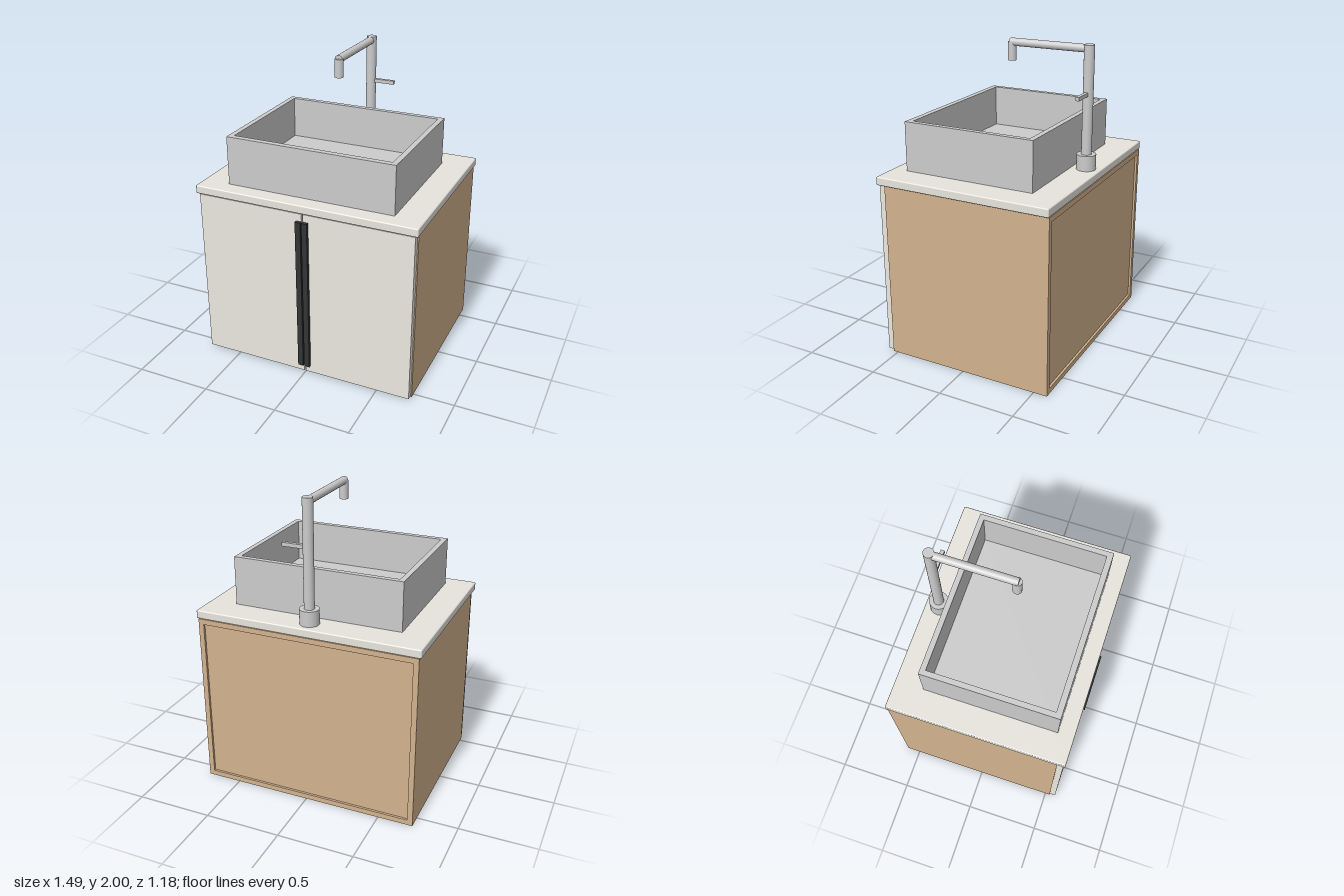
import * as THREE from 'three';
import { RoundedBoxGeometry } from 'three/addons/geometries/RoundedBoxGeometry.js';

const mat = (color) => new THREE.MeshStandardMaterial({ color });
const wood = mat(0xd2b28e), doorPaint = mat(0xece8e1), stone = mat(0xe6e4dc);
const black = mat(0x323434), grey = mat(0xcccccc);

function add(parent, name, geometry, material, x = 0, y = 0, z = 0) {
  const mesh = new THREE.Mesh(geometry, material);
  mesh.name = name;
  mesh.position.set(x, y, z);
  parent.add(mesh);
  return mesh;
}

// Box given by its minimum and maximum corners
function box(parent, name, material, [x0, y0, z0], [x1, y1, z1]) {
  return add(parent, name, new THREE.BoxGeometry(x1 - x0, y1 - y0, z1 - z0), material,
    (x0 + x1) / 2, (y0 + y1) / 2, (z0 + z1) / 2);
}

// Upright cylinder between two heights
function post(parent, name, r, y0, y1, z) {
  return add(parent, name, new THREE.CylinderGeometry(r, r, y1 - y0, 32), grey, 0, (y0 + y1) / 2, z);
}

// Rectangle outline in the XY plane
function rect(path, x0, y0, x1, y1) {
  path.moveTo(x0, y0);
  path.lineTo(x1, y0);
  path.lineTo(x1, y1);
  path.lineTo(x0, y1);
  path.closePath();
  return path;
}

// Extruded rectangular frame
function frame(outer, inner, depth) {
  const shape = rect(new THREE.Shape(), ...outer);
  shape.holes.push(rect(new THREE.Path(), ...inner));
  return new THREE.ExtrudeGeometry(shape, { depth, bevelEnabled: false });
}

export function createModel() {
  const model = new THREE.Group();
  model.name = 'washstand';

  // Cabinet carcass with a shallow recessed back panel
  const cabinet = new THREE.Group();
  cabinet.name = 'cabinet';
  model.add(cabinet);
  box(cabinet, 'carcass', wood, [-0.73, 0, -0.575], [0.73, 1.16, 0.533]);
  add(cabinet, 'backFrame', frame([-0.73, 0, 0.73, 1.16], [-0.695, 0.035, 0.695, 1.125], 0.015),
    wood, 0, 0, -0.59);

  // Pair of doors with long pull handles along the centre gap
  for (const [side, s] of [['left', 1], ['right', -1]]) {
    const door = new THREE.Group();
    door.name = side + 'Door';
    model.add(door);
    add(door, side + 'DoorPanel', new THREE.BoxGeometry(0.718, 1.145, 0.04), doorPaint,
      s * 0.364, 0.5825, 0.553);
    add(door, side + 'DoorHandle', new THREE.BoxGeometry(0.036, 1.045, 0.022), black,
      s * 0.022, 0.5825, 0.584);
  }

  // Countertop with softened edges
  add(model, 'countertop', new RoundedBoxGeometry(1.486, 0.055, 1.175, 2, 0.008), stone,
    0, 1.1885, -0.0025);

  // Rectangular vessel basin
  const basin = new THREE.Group();
  basin.name = 'basin';
  model.add(basin);
  const walls = add(basin, 'basinWalls',
    frame([-0.56, -0.48, 0.56, 0.4], [-0.525, -0.442, 0.525, 0.365], 0.32), grey, 0, 1.215, 0);
  walls.rotation.x = -Math.PI / 2;
  box(basin, 'basinFloor', grey, [-0.525, 1.215, -0.365], [0.525, 1.26, 0.442]);

  // Tall tap behind the basin
  const tap = new THREE.Group();
  tap.name = 'tap';
  model.add(tap);
  post(tap, 'tapBase', 0.062, 1.215, 1.315, -0.495);
  post(tap, 'tapColumn', 0.033, 1.315, 2, -0.495);
  const spout = add(tap, 'tapSpout', new THREE.CylinderGeometry(0.025, 0.025, 0.535, 32), grey,
    0, 1.975, -0.2275);
  spout.rotation.x = Math.PI / 2;
  post(tap, 'tapOutlet', 0.028, 1.86, 1.976, 0.03);
  box(tap, 'tapLever', grey, [0.02, 1.688, -0.507], [0.167, 1.712, -0.483]);

  return model;
}
